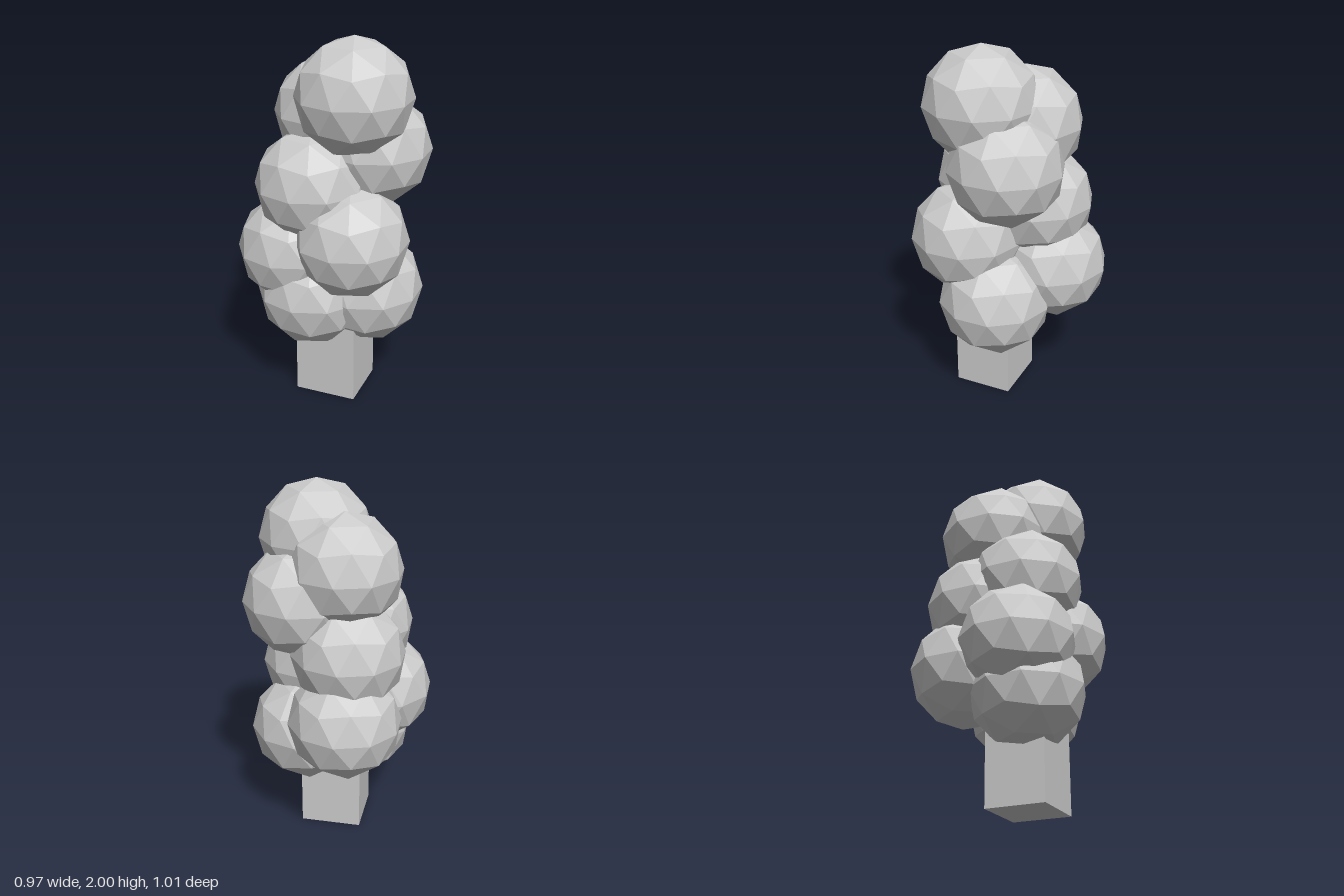
import * as THREE from 'three';

export function createModel() {
  const tree = new THREE.Group();
  tree.name = 'tree';
  const material = new THREE.MeshStandardMaterial({ color: 0xcccccc, flatShading: true });

  // Square trunk, its top hidden inside the foliage
  const trunkHeight = 0.6;
  const trunk = new THREE.Mesh(new THREE.BoxGeometry(0.34, trunkHeight, 0.325), material);
  trunk.name = 'trunk';
  trunk.position.set(0.03, trunkHeight / 2, 0.1);
  tree.add(trunk);

  // Low-poly leaf ball, turned so that one corner points straight up
  const ball = new THREE.IcosahedronGeometry(0.31, 1);
  ball.rotateZ(-Math.atan(2 / (1 + Math.sqrt(5))));

  // Foliage: equal balls spiralling up the trunk, listed from bottom to top
  const foliage = new THREE.Group();
  foliage.name = 'foliage';
  const centres = [
    [-0.08, 0.595, 0.15],
    [0.185, 0.605, 0.02],
    [-0.08, 0.76, -0.2],
    [-0.195, 0.83, 0.145],
    [0.155, 0.945, 0.195],
    [-0.08, 1.12, -0.11],
    [-0.08, 1.21, 0.15],
    [0.19, 1.385, -0.05],
    [-0.05, 1.56, -0.05],
    [0.135, 1.69, 0.11],
  ];
  centres.forEach((centre, i) => {
    const leafBall = new THREE.Mesh(ball, material);
    leafBall.name = `leafBall${i + 1}`;
    leafBall.position.set(...centre);
    foliage.add(leafBall);
  });
  tree.add(foliage);

  return tree;
}
